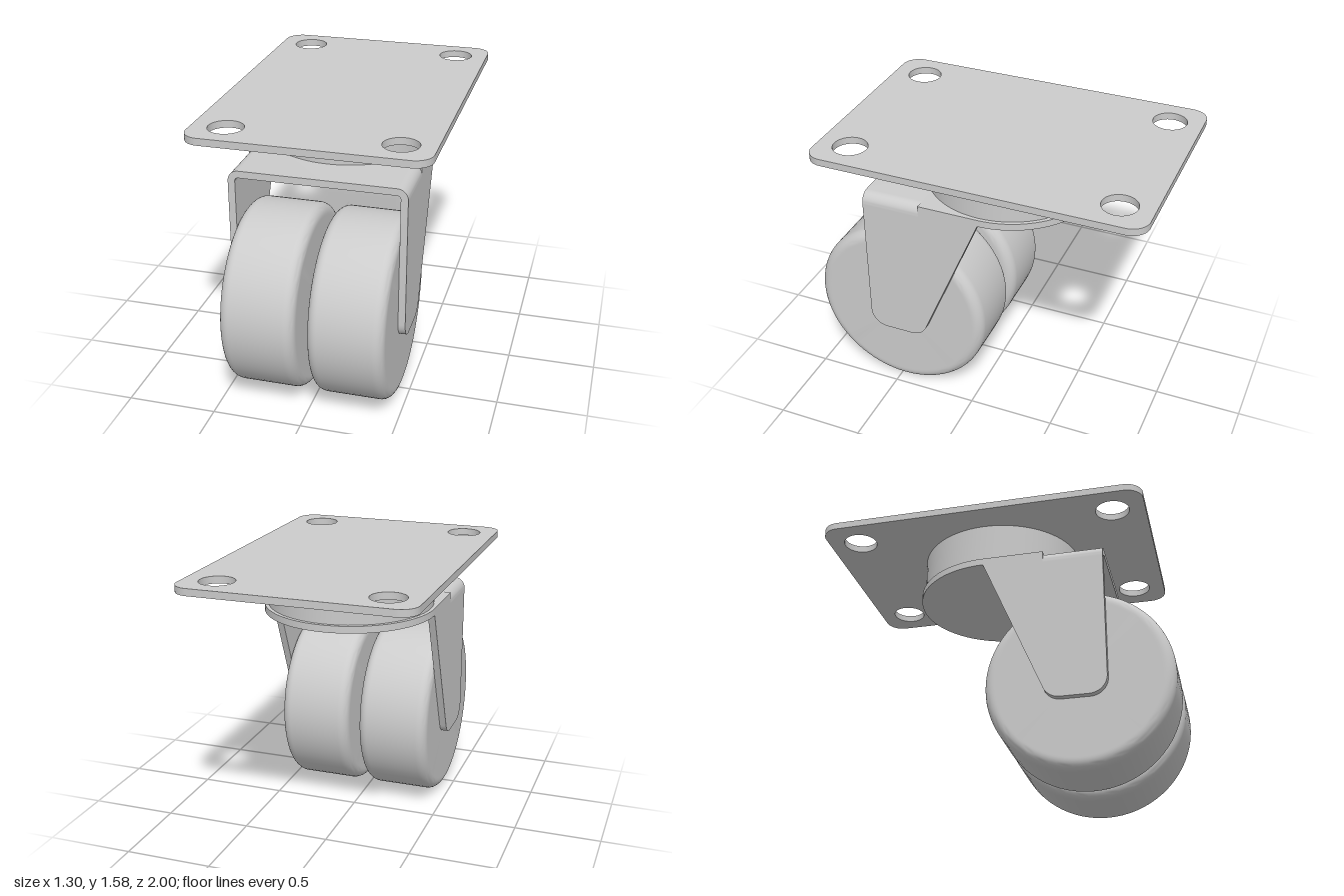
import * as THREE from 'three';
import { toCreasedNormals } from 'three/addons/utils/BufferGeometryUtils.js';

const material = new THREE.MeshStandardMaterial({ color: 0xcccccc });

// Closed outline from [x, y, cornerRadius] points, with circular fillets
function roundedShape(points) {
  const shape = new THREE.Shape();
  const n = points.length;
  points.forEach(([x, y, r = 0], i) => {
    const corner = new THREE.Vector2(x, y);
    const prev = points[(i + n - 1) % n], next = points[(i + 1) % n];
    const a = new THREE.Vector2(prev[0] - x, prev[1] - y).normalize();
    const b = new THREE.Vector2(next[0] - x, next[1] - y).normalize();
    const turn = Math.PI - Math.acos(a.dot(b));
    const cut = r * Math.tan(turn / 2);
    const handle = cut - (4 / 3) * Math.tan(turn / 4) * r;
    const at = (dir, d) => corner.clone().addScaledVector(dir, d);
    const start = at(a, cut), end = at(b, cut);
    if (i === 0) shape.moveTo(start.x, start.y);
    else shape.lineTo(start.x, start.y);
    if (r > 0) {
      const h1 = at(a, handle), h2 = at(b, handle);
      shape.bezierCurveTo(h1.x, h1.y, h2.x, h2.y, end.x, end.y);
    }
  });
  shape.closePath();
  return shape;
}

function extrude(shape, depth, curveSegments = 10) {
  return new THREE.ExtrudeGeometry(shape, { depth, bevelEnabled: false, curveSegments });
}

// Horizontal sheet: the shape's y is z, its upper face is at height top
const sheet = (shape, depth, top, segments) =>
  extrude(shape, depth, segments).rotateX(Math.PI / 2).translate(0, top, 0);

export function createModel() {
  const group = new THREE.Group();
  const add = (name, geometry) => {
    const mesh = new THREE.Mesh(toCreasedNormals(geometry, 0.5), material);
    mesh.name = name;
    group.add(mesh);
    return mesh;
  };

  // Mounting plate with four bolt holes
  const plate = roundedShape([
    [-0.65, -1, 0.1], [0.65, -1, 0.1], [0.65, 0.89, 0.1], [-0.65, 0.89, 0.1],
  ]);
  for (const x of [-0.463, 0.463]) {
    for (const z of [-0.815, 0.703]) {
      plate.holes.push(new THREE.Path().absarc(x, z, 0.097, 0, Math.PI * 2, true));
    }
  }
  add('mountingPlate', sheet(plate, 0.04, 1.58, 24));

  // Swivel housing
  const swivelZ = -0.05;
  add('swivelHousing',
    new THREE.CylinderGeometry(0.472, 0.472, 0.235, 64).translate(0, 1.4225, swivelZ));

  // Fork crown: square-edged sheet with a half-round back
  const W = 0.493, T = 0.04, IN = W - T, TOP = 1.31, bendZ = 0.3, frontZ = 0.64;
  const crown = new THREE.Shape();
  crown.moveTo(W, swivelZ);
  crown.lineTo(W, bendZ);
  crown.lineTo(-W, bendZ);
  crown.lineTo(-W, swivelZ);
  crown.absarc(0, swivelZ, W, Math.PI, Math.PI * 2, false);
  add('forkCrown', sheet(crown, T, TOP, 40));

  // Front of the crown, bent down into the arms
  const armTop = 1.24;
  const bend = roundedShape([
    [-W, armTop], [-IN, armTop], [-IN, TOP - T, 0.02], [IN, TOP - T, 0.02],
    [IN, armTop], [W, armTop], [W, TOP, 0.06], [-W, TOP, 0.06],
  ]);
  add('forkBend', extrude(bend, frontZ - bendZ).translate(0, 0, bendZ));

  // Fork arms, tapering to the axle
  const arm = roundedShape([
    [frontZ, armTop], [bendZ, armTop], [bendZ, TOP - T], [swivelZ, TOP - T],
    [0.315, 0.405, 0.1], [frontZ, 0.405, 0.1],
  ]);
  for (const [name, x] of [['leftForkArm', W], ['rightForkArm', -IN]]) {
    add(name, extrude(arm, T).rotateY(-Math.PI / 2).translate(x, 0, 0));
  }

  // Twin wheels with rounded shoulders
  const R = 0.525, F = 0.06, half = 0.209, wheelY = 0.528, wheelZ = 0.475;
  const profile = [new THREE.Vector2(0, -half), new THREE.Vector2(R - F - 0.01, -half)];
  for (const side of [-1, 1]) {
    for (let i = 0; i <= 8; i++) {
      const t = (side < 0 ? i - 8 : i) / 8 * Math.PI / 2;
      profile.push(new THREE.Vector2(
        R - F + F * Math.cos(t), side * (half - F) + F * Math.sin(t)));
    }
  }
  profile.push(new THREE.Vector2(R - F - 0.01, half), new THREE.Vector2(0, half));
  for (const [name, x] of [['leftWheel', 0.243], ['rightWheel', -0.243]]) {
    add(name, new THREE.LatheGeometry(profile, 72).rotateZ(Math.PI / 2))
      .position.set(x, wheelY, wheelZ);
  }

  // Axle
  add('axle', new THREE.CylinderGeometry(0.06, 0.06, 0.9, 32).rotateZ(Math.PI / 2))
    .position.set(0, wheelY, wheelZ);

  return group;
}
